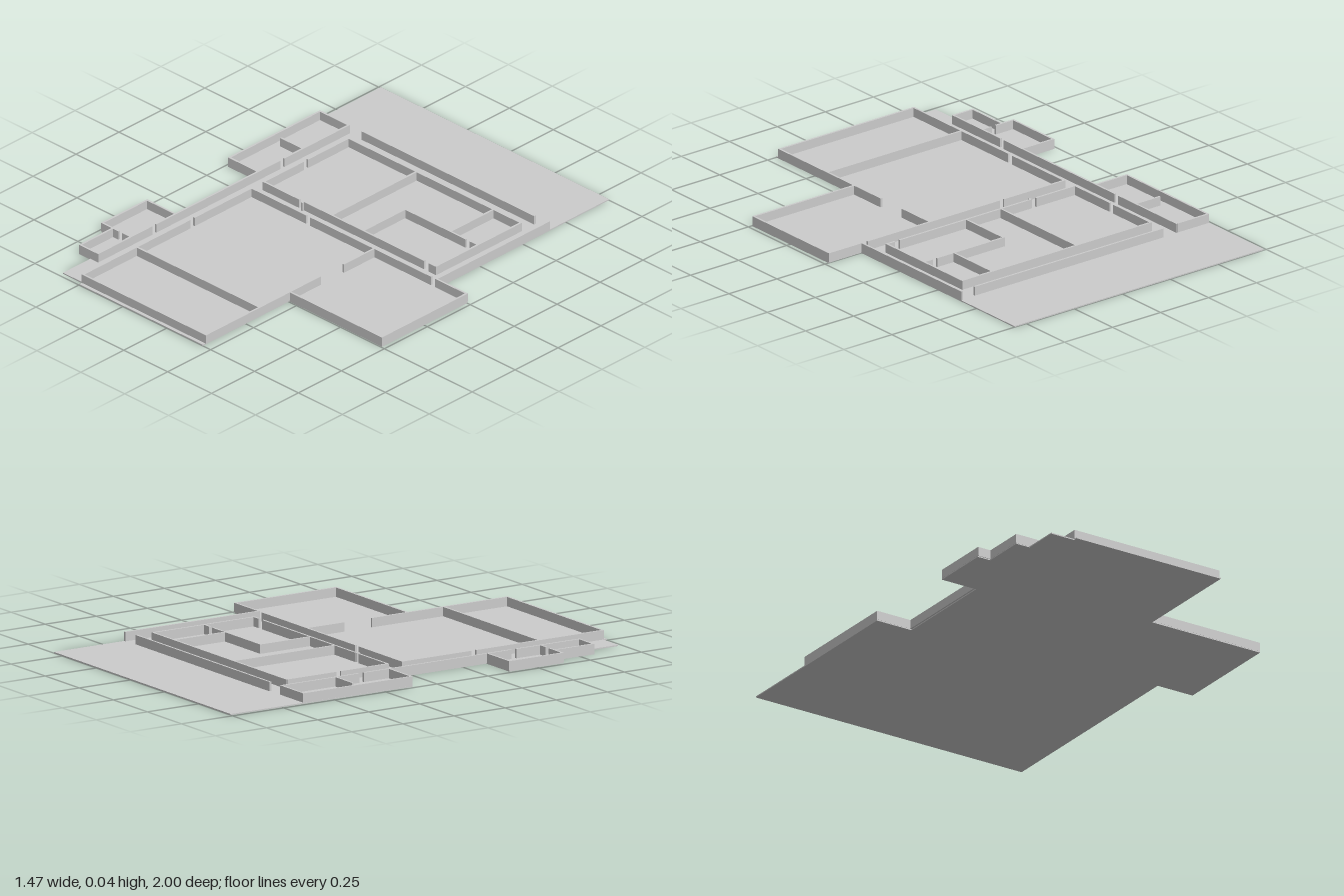
import * as THREE from 'three';

const T = 0.009;      // wall thickness
const FLOOR = 0.005;  // slab thickness
const TOP = 0.044;    // wall top

export function createModel() {
  const model = new THREE.Group();
  const mat = new THREE.MeshStandardMaterial({ color: 0xcccccc, flatShading: true });

  // Floor slab outline, as x, z corners
  const outline = [
    [-0.737, -1], [0.562, -1], [0.562, 0], [0.732, 0], [0.732, 0.496], [0.205, 0.496],
    [0.205, 1], [-0.498, 1], [-0.498, 0.98], [-0.61, 0.98], [-0.61, 0.82], [-0.675, 0.82],
    [-0.675, 0.628], [-0.735, 0.628], [-0.735, 0.364], [-0.568, 0.364],
    [-0.568, -0.11], [-0.737, -0.11],
  ];
  const shape = new THREE.Shape(outline.map(([x, z]) => new THREE.Vector2(x, -z)));
  const slab = new THREE.ExtrudeGeometry(shape, { depth: FLOOR, bevelEnabled: false });
  slab.rotateX(-Math.PI / 2);
  const floor = new THREE.Mesh(slab, mat);
  floor.name = 'floor';
  model.add(floor);

  function block(group, x0, x1, z0, z1, name) {
    const m = new THREE.Mesh(new THREE.BoxGeometry(x1 - x0, TOP - FLOOR, z1 - z0), mat);
    m.position.set((x0 + x1) / 2, (TOP + FLOOR) / 2, (z0 + z1) / 2);
    m.name = name;
    group.add(m);
  }
  function section(name) {
    const g = new THREE.Group();
    g.name = name;
    model.add(g);
    return {
      // Wall along x at depth z; pairs of start and end leave door openings
      alongX(z, ...runs) {
        for (let i = 0; i < runs.length; i += 2)
          block(g, runs[i], runs[i + 1], z - T / 2, z + T / 2, 'crossWall');
      },
      // Wall along z at position x
      alongZ(x, ...runs) {
        for (let i = 0; i < runs.length; i += 2)
          block(g, x - T / 2, x + T / 2, runs[i], runs[i + 1], 'longWall');
      },
    };
  }

  // Rear rooms
  const rear = section('rearRooms');
  rear.alongX(-0.645, -0.495, 0.488);
  rear.alongX(-0.565, -0.499, 0.489);
  rear.alongX(-0.072, -0.499, -0.29, -0.266, 0.42, 0.445, 0.489);
  rear.alongZ(-0.495, -0.565, -0.325, -0.302, -0.072);
  rear.alongZ(0.485, -0.565, -0.072);
  rear.alongZ(-0.108, -0.565, -0.072);
  rear.alongZ(0.33, -0.565, -0.315);
  rear.alongX(-0.315, 0.068, 0.42, 0.443, 0.485);
  rear.alongZ(0.072, -0.315, -0.072);
  rear.alongZ(0.558, -0.655, 0);
  rear.alongZ(-0.266, -0.072, -0.058);

  // Main hall and front room
  const hall = section('mainHall');
  hall.alongX(0, -0.499, -0.18, -0.157, 0.53, 0.555, 0.732);
  hall.alongZ(-0.495, 0, 0.335, 0.36, 0.985);
  hall.alongZ(0.204, 0, 0.18, 0.315, 0.985);
  hall.alongX(0.668, -0.495, 0.204);
  hall.alongX(0.98, -0.499, 0.208);

  // Side room
  const side = section('sideRoom');
  side.alongZ(0.728, 0, 0.496);
  side.alongX(0.492, 0.204, 0.732);

  // Long corridor wall with its small outer rooms
  const annex = section('corridorRooms');
  annex.alongZ(-0.57, -0.645, -0.263, -0.24, 0.482, 0.505, 0.82);
  annex.alongZ(-0.732, -0.645, -0.11);
  annex.alongX(-0.641, -0.736, -0.57);
  annex.alongX(-0.114, -0.736, -0.57);
  annex.alongX(-0.375, -0.695, -0.57);
  annex.alongZ(-0.731, 0.364, 0.63);
  annex.alongX(0.367, -0.735, -0.57);
  annex.alongX(0.626, -0.735, -0.637, -0.615, -0.57);
  annex.alongZ(-0.671, 0.626, 0.82);
  annex.alongX(0.816, -0.675, -0.566);

  return model;
}
